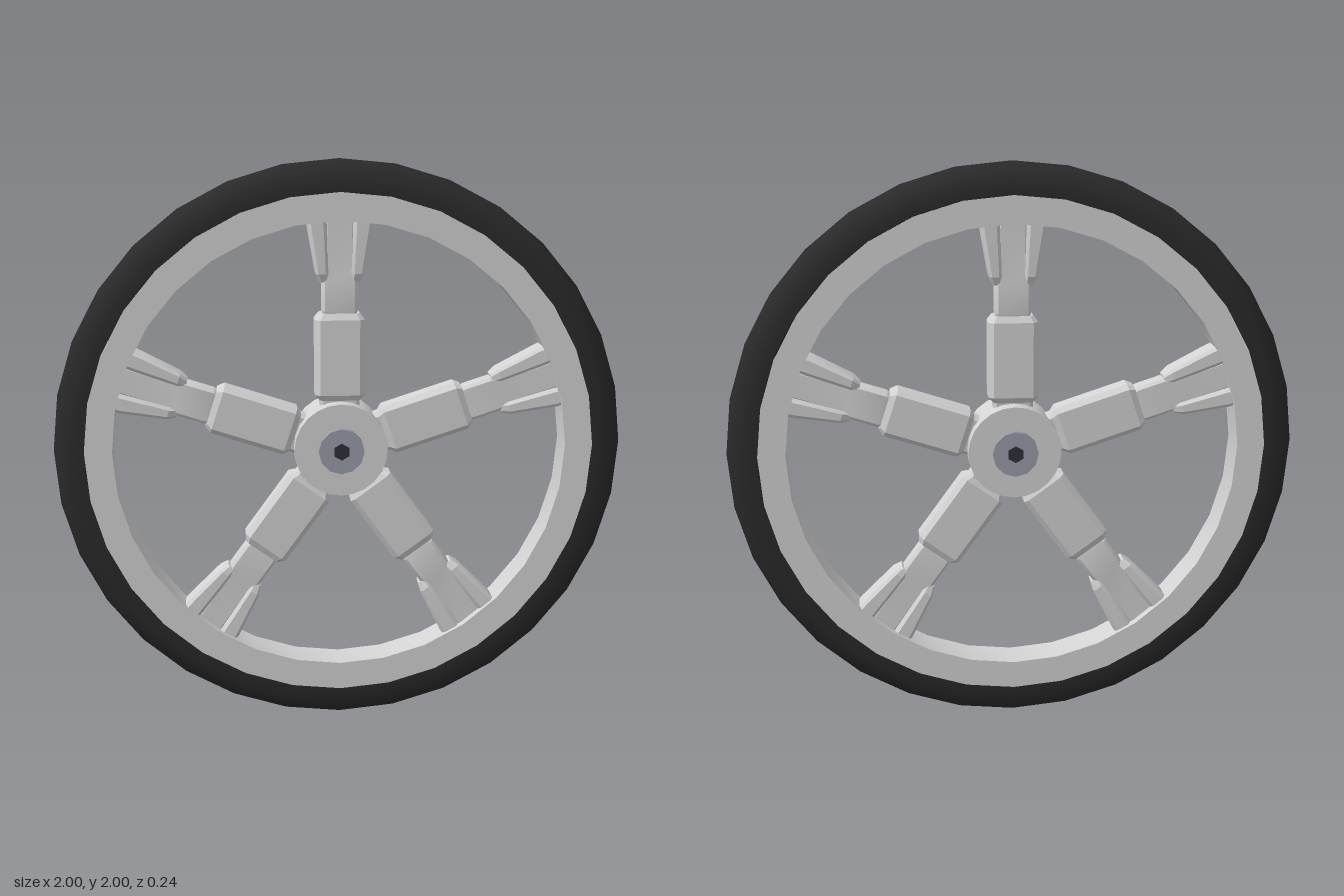
import * as THREE from 'three';
import { toCreasedNormals } from 'three/addons/utils/BufferGeometryUtils.js';

const mat = (name, color) => {
  const m = new THREE.MeshStandardMaterial({ color });
  m.name = name;
  return m;
};

// Closed ring turned about z from [radius, z] points
function ring(points, segments, crease) {
  const pts = [...points, points[0]].map(([r, z]) => new THREE.Vector2(r, z));
  const g = new THREE.LatheGeometry(pts, segments).rotateX(Math.PI / 2);
  return toCreasedNormals(g, crease);
}

// Chamfered bar along +y through sections [y, centreX, halfWidth, halfDepth, chamfer]
function loft(sections) {
  const pos = [], index = [], n = 8;
  for (const [y, cx, w, d, c] of sections) {
    const corners = [[w, d - c], [w - c, d], [c - w, d], [-w, d - c], [-w, c - d], [c - w, -d], [w - c, -d], [w, c - d]];
    for (const [x, z] of corners) pos.push(cx + x, y, z);
  }
  for (let s = 0; s < sections.length - 1; s++) {
    for (let i = 0; i < n; i++) {
      const a = s * n + i, b = s * n + (i + 1) % n;
      index.push(a, a + n, b, b, a + n, b + n);
    }
  }
  const last = (sections.length - 1) * n;
  for (let i = 1; i < n - 1; i++) {
    index.push(0, i, i + 1);
    index.push(last, last + i + 1, last + i);
  }
  const g = new THREE.BufferGeometry();
  g.setAttribute('position', new THREE.Float32BufferAttribute(pos, 3));
  g.setIndex(index);
  return toCreasedNormals(g, 0.3);
}

// Cylinder lying along z
const drum = (r, depth, sides) =>
  toCreasedNormals(new THREE.CylinderGeometry(r, r, depth, sides).rotateX(Math.PI / 2), 0.6);

export function createModel() {
  const model = new THREE.Group();
  model.name = 'wheel';
  const wheel = new THREE.Group();
  wheel.name = 'wheelAssembly';
  wheel.position.y = 1;
  model.add(wheel);

  const rubber = mat('black rubber', 0x2a2a2a);
  const metal = mat('light grey metal', 0xd4d4d4);
  const steel = mat('blue grey steel', 0x9a9daa);
  const dark = mat('dark socket', 0x2c3038);
  const add = (parent, name, geometry, material) => {
    const mesh = new THREE.Mesh(geometry, material);
    mesh.name = name;
    parent.add(mesh);
  };

  // Tyre and rim
  add(wheel, 'tyre', ring([
    [0.885, -0.068], [0.932, -0.07], [0.978, -0.051], [1, -0.012],
    [1, 0.012], [0.978, 0.051], [0.932, 0.07], [0.885, 0.068],
  ], 32, 0.9), rubber);
  add(wheel, 'rim', ring([[0.795, -0.07], [0.892, -0.07], [0.892, 0.07], [0.795, 0.07]], 32, 0.6), metal);

  // Hub with a bolt and hexagonal socket on both faces
  add(wheel, 'hub', drum(0.163, 0.19, 24), metal);
  add(wheel, 'axleBolt', drum(0.08, 0.24, 12), steel);
  add(wheel, 'axleSocket', drum(0.03, 0.244, 6), dark);

  // Five spokes, each a thick block, a neck and a forked foot
  const block = loft([
    [0.13, 0, 0.07, 0.038, 0.012], [0.165, 0, 0.07, 0.04, 0.012], [0.185, 0, 0.087, 0.052, 0.018],
    [0.45, 0, 0.087, 0.052, 0.018], [0.472, 0, 0.07, 0.04, 0.012],
  ]);
  const neck = loft([
    [0.46, 0, 0.055, 0.036, 0.01], [0.48, 0, 0.062, 0.04, 0.01],
    [0.58, 0, 0.062, 0.04, 0.01], [0.62, 0, 0.052, 0.036, 0.01], [0.81, 0, 0.052, 0.036, 0.01],
  ]);
  const prong = (side) => loft([
    [0.58, side * 0.055, 0.016, 0.036, 0.007], [0.61, side * 0.062, 0.022, 0.048, 0.01],
    [0.77, side * 0.078, 0.033, 0.052, 0.012], [0.81, side * 0.08, 0.033, 0.052, 0.012],
  ]);
  const prongs = { leftProng: prong(1), rightProng: prong(-1) };
  for (let i = 0; i < 5; i++) {
    const spoke = new THREE.Group();
    spoke.name = `spoke${i + 1}`;
    spoke.rotation.z = (i * Math.PI * 2) / 5;
    add(spoke, 'spokeBlock', block, metal);
    add(spoke, 'spokeNeck', neck, metal);
    for (const [name, geometry] of Object.entries(prongs)) add(spoke, name, geometry, metal);
    wheel.add(spoke);
  }
  return model;
}
